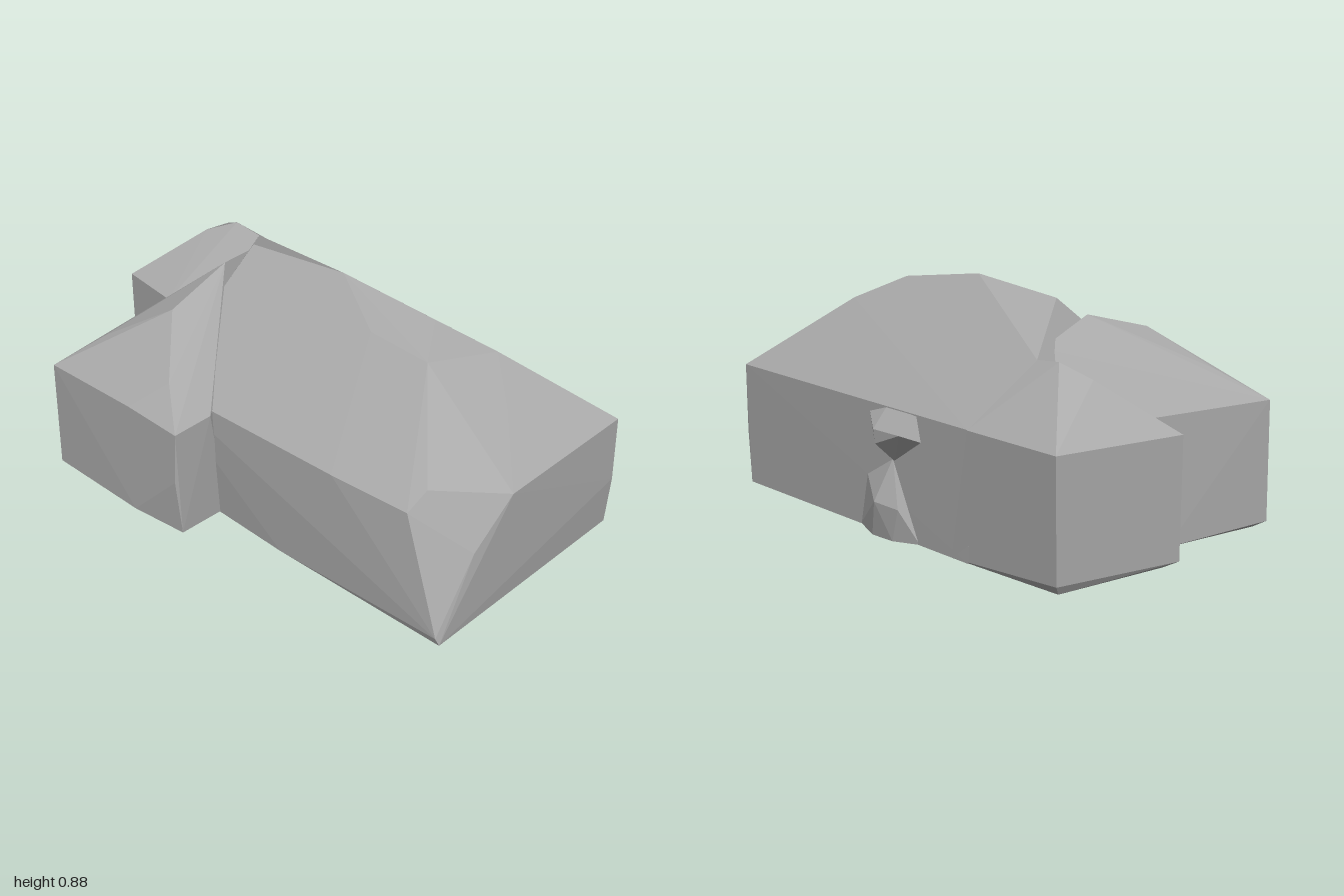
import * as THREE from 'three';
import { ConvexGeometry } from 'three/addons/geometries/ConvexGeometry.js';

const stone = new THREE.MeshStandardMaterial({ color: 0xaaaaaa, flatShading: true });
stone.name = 'grey stone';

// Faceted block wrapped around its corner points
function block(name, corners) {
  const geometry = new ConvexGeometry(corners.map((c) => new THREE.Vector3(...c)));
  const mesh = new THREE.Mesh(geometry, stone);
  mesh.name = name;
  return mesh;
}

export function createModel() {
  const model = new THREE.Group();
  model.name = 'roughHouseBlock';

  // Long main hall with a hipped roof and a chamfered front corner
  model.add(block('mainHall', [
    // base
    [-0.5, 0, -0.57], [0.97, 0, -0.49], [0.95, 0, 0.45], [0.2, 0, 0.42],
    [-0.12, 0, 0.36], [-0.5, 0, 0.36], [0.06, 0.08, 0.41],
    // eaves
    [-0.5, 0.46, -0.57], [0.99, 0.46, -0.495], [0.99, 0.2, -0.49], [0.975, 0.46, 0.1],
    [0.955, 0.3, 0.28], [0.94, 0.03, 0.46], [0.78, 0.47, 0.43], [0.45, 0.47, 0.435],
    [-0.1, 0.46, 0.41], [-0.4, 0.46, 0.41],
    // roof
    [-0.57, 0.68, -0.33], [-0.5, 0.7, -0.25], [-0.36, 0.84, -0.07], [0.06, 0.88, -0.085],
    [0.45, 0.83, -0.12], [0.3, 0.8, 0.05], [0.56, 0.79, 0.06], [0.65, 0.735, -0.22],
    [0.79, 0.62, -0.1], [0.8, 0.53, 0.35],
  ]));

  // Front wing with its own hipped roof
  model.add(block('frontWing', [
    [-0.72, 0, -0.25], [-0.76, 0, 0.1], [-0.74, 0, 0.53], [-0.35, 0, 0.57], [-0.15, 0, 0.53],
    [-0.12, 0, 0.36], [-0.77, 0.02, 0.57], [-0.35, 0.02, 0.6], [-0.12, 0.02, 0.59],
    [-0.72, 0.46, -0.25], [-0.74, 0.46, 0.02], [-0.765, 0.46, 0.58], [-0.36, 0.47, 0.6],
    [-0.12, 0.46, 0.61], [-0.13, 0.25, 0.61], [-0.11, 0.46, 0.44],
    [-0.5, 0.7, -0.25], [-0.42, 0.78, 0.02], [-0.42, 0.71, 0.3], [-0.64, 0.57, 0.43],
    [-0.25, 0.57, 0.5], [-0.13, 0.47, 0.5],
  ]));

  // Low side wing at the back corner
  model.add(block('sideWing', [
    [-0.97, 0, -0.57], [-0.4, 0, -0.565], [-0.94, 0, -0.09], [-0.4, 0, 0],
    [-1, 0.03, -0.07], [-0.985, 0.03, -0.59], [-0.83, 0.02, -0.04],
    [-0.985, 0.46, -0.595], [-0.5, 0.46, -0.575], [-1, 0.46, -0.06], [-0.76, 0.46, -0.02],
    [-0.9, 0.55, -0.2], [-0.8, 0.64, -0.28], [-0.8, 0.61, -0.39], [-0.69, 0.69, -0.335],
    [-0.57, 0.68, -0.33], [-0.4, 0.5, -0.1],
  ]));

  // Footing at the inner corner between the two wings
  model.add(block('cornerFooting', [
    [-0.83, 0.02, -0.05], [-0.8, 0, -0.1], [-0.74, 0.02, 0.09], [-0.74, 0, 0.05],
    [-0.73, 0.4, 0.06], [-0.79, 0.4, -0.04], [-0.7, 0, -0.1], [-0.7, 0.4, -0.1],
  ]));

  // Chipped outcrop halfway along the back wall
  model.add(block('upperOutcrop', [
    [-0.23, 0.36, -0.54], [-0.17, 0.39, -0.615], [-0.02, 0.39, -0.615], [-0.03, 0.34, -0.615],
    [0.12, 0.43, -0.53], [-0.2, 0.48, -0.53], [0, 0.46, -0.54], [-0.05, 0.27, -0.545],
  ]));
  model.add(block('lowerOutcrop', [
    [-0.2, 0, -0.55], [-0.1, 0, -0.595], [0.02, 0, -0.595], [0.18, 0, -0.53],
    [-0.02, 0.13, -0.615], [-0.14, 0.12, -0.6], [-0.04, 0.28, -0.545], [0.14, 0.2, -0.53],
  ]));

  return model;
}
